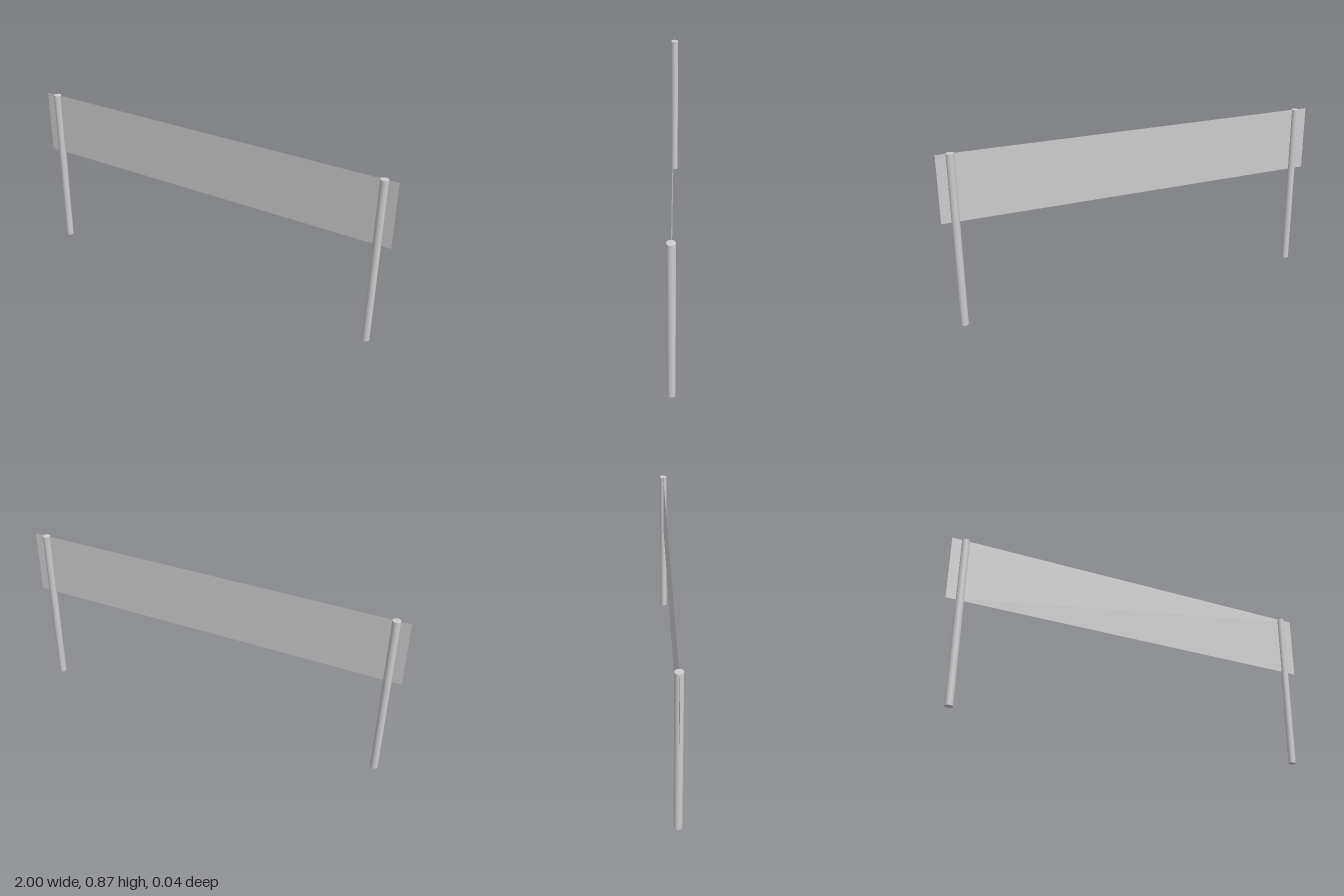
import * as THREE from 'three';

export function createModel() {
  const model = new THREE.Group();
  model.name = 'bannerBarrier';

  const grey = new THREE.MeshStandardMaterial({ color: 0xcccccc });
  grey.name = 'light grey';
  grey.side = THREE.DoubleSide;

  const height = 0.867;
  const panelBottom = 0.535;
  const postX = 0.932;

  // Thin sheet stretched through the middle of both posts
  const panel = new THREE.Mesh(new THREE.PlaneGeometry(2, height - panelBottom), grey);
  panel.name = 'panel';
  panel.position.y = (height + panelBottom) / 2;
  model.add(panel);

  // Round upright posts, capped at both ends
  const postGeometry = new THREE.CylinderGeometry(0.0195, 0.0195, height, 24);
  for (const side of [-1, 1]) {
    const post = new THREE.Mesh(postGeometry, grey);
    post.name = side > 0 ? 'leftPost' : 'rightPost';
    post.position.set(side * postX, height / 2, 0);
    model.add(post);
  }

  return model;
}
